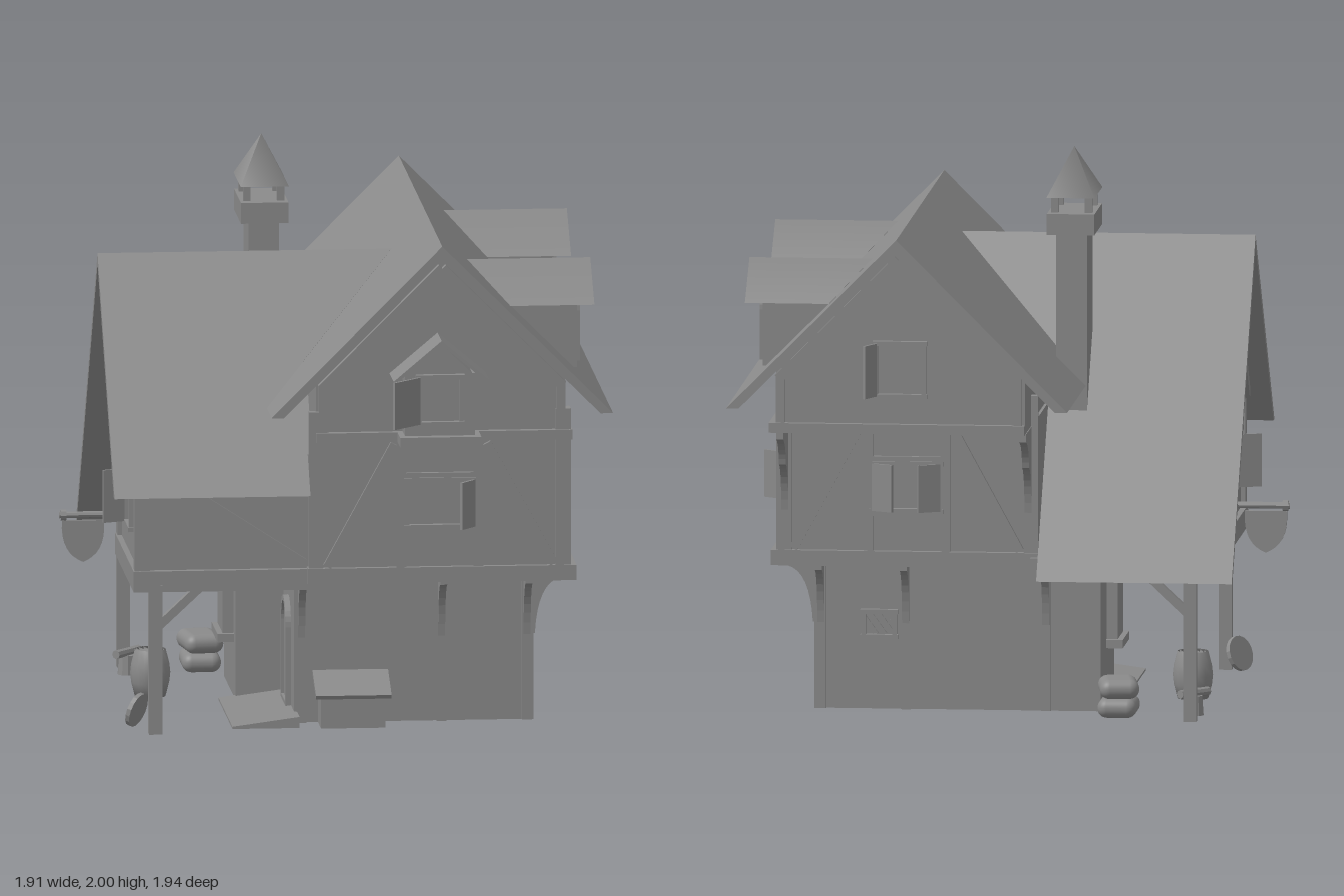
import * as THREE from 'three';
import { RoundedBoxGeometry } from 'three/addons/geometries/RoundedBoxGeometry.js';

const mat = new THREE.MeshStandardMaterial({ color: 0x8a8a8a, flatShading: true, side: THREE.DoubleSide });
const smooth = new THREE.MeshStandardMaterial({ color: 0x8a8a8a, side: THREE.DoubleSide });

function add(parent, name, geo, x = 0, y = 0, z = 0, m = mat) {
  const mesh = new THREE.Mesh(geo, m);
  mesh.name = name;
  mesh.position.set(x, y, z);
  parent.add(mesh);
  return mesh;
}
// Box given by its two extreme corners
function box(parent, name, x0, x1, y0, y1, z0, z1) {
  return add(parent, name, new THREE.BoxGeometry(x1 - x0, y1 - y0, z1 - z0), (x0 + x1) / 2, (y0 + y1) / 2, (z0 + z1) / 2);
}
const shapeOf = pts => new THREE.Shape(pts.map(p => new THREE.Vector2(p[0], p[1])));
const extrude = (shape, depth) => new THREE.ExtrudeGeometry(shape, { depth, bevelEnabled: false, curveSegments: 8 });

// Roof with its ridge along z: chevron profile cut level at the eaves
function chevronRoof(parent, name, cx, half, ridge, eave, t, z0, z1) {
  const cut = t * half / (ridge - eave);
  const profile = [[cx - half, eave], [cx - half + cut, eave], [cx, ridge - t], [cx + half - cut, eave], [cx + half, eave], [cx, ridge]];
  add(parent, name, extrude(shapeOf(profile), z1 - z0), 0, 0, z0);
}
// One slope of a roof with its ridge along x, from a plan outline (x, z); soft blends shading over the ridge
function slope(parent, name, plan, ridgeZ, ridgeY, pitch, t, soft) {
  const geo = extrude(shapeOf(plan), 1), p = geo.attributes.position, n = geo.attributes.normal;
  const eave = Math.max(...plan.map(q => Math.abs(q[1] - ridgeZ)));
  for (let i = 0; i < p.count; i++) {
    const x = p.getX(i), z = p.getY(i), under = p.getZ(i), dist = Math.abs(z - ridgeZ);
    const y = ridgeY - dist * pitch, atEave = dist > eave - 1e-4;
    if (under && atEave) p.setXYZ(i, x, y, z - Math.sign(z - ridgeZ) * t / pitch);
    else p.setXYZ(i, x, y - under * t, z);
  }
  geo.computeVertexNormals();
  if (soft) for (let i = 0; i < p.count; i++) if (n.getY(i) > 0.3 && Math.abs(p.getZ(i) - ridgeZ) < 1e-4) n.setXYZ(i, 0, 1, 0);
  add(parent, name, geo, 0, 0, 0, soft ? smooth : mat);
}
// Wall plane: local x runs along the wall, y up, z outwards
function wallFace(parent, name, x, z, turn) {
  const g = new THREE.Group();
  g.name = name;
  g.position.set(x, 0, z);
  g.rotation.y = turn;
  parent.add(g);
  return g;
}
function timber(face, u0, v0, u1, v1, w = 0.03, d = 0.03) {
  const m = add(face, 'timber', new THREE.BoxGeometry(w, Math.hypot(u1 - u0, v1 - v0), d), (u0 + u1) / 2, (v0 + v1) / 2, 0);
  m.rotation.z = Math.atan2(u0 - u1, v1 - v0);
}
// Framed window with hinged shutters, angles in radians (0 = closed)
function casement(face, u, v, w, h, left = null, right = null, out = 0) {
  const g = wallFace(face, 'window', u, out, 0);
  g.position.y = v;
  for (const s of [-1, 1]) {
    timber(g, s * w / 2, -h / 2, s * w / 2, h / 2, 0.016, 0.04);
    timber(g, -w / 2 - 0.012, s * h / 2, w / 2 + 0.012, s * h / 2, 0.016, 0.045);
    const a = s < 0 ? left : right;
    if (a === null) continue;
    const hinge = wallFace(g, 'hinge', s * w / 2, 0.02, s * a);
    add(hinge, 'shutter', new THREE.BoxGeometry(0.085, h, 0.01), -s * 0.0425, 0, 0);
  }
}
// Curved bracket growing outwards from a wall face, top at v, with one or more scalloped steps
function bracket(face, u, v, d, h, steps = 1) {
  const s = new THREE.Shape();
  s.moveTo(0, 0);
  s.lineTo(0, -h);
  s.lineTo(0.02, -h);
  for (let i = 1; i <= steps; i++) {
    const y = -0.03 - (h - 0.03) * (1 - i / steps) ** 1.4;
    s.quadraticCurveTo(0.03 + (d - 0.03) * (i - 1) / steps, y - 0.02, d * i / steps, y);
  }
  s.lineTo(d, 0);
  add(face, 'bracket', extrude(s, 0.025), u + 0.0125, v, 0).rotation.y = -Math.PI / 2;
}
// Small barred window with a diagonal lattice
function grille(face, u, v) {
  casement(face, u, v, 0.11, 0.09);
  for (const k of [-0.03, 0, 0.03]) for (const s of [-1, 1]) timber(face, u + k - s * 0.025, v - 0.035, u + k + s * 0.025, v + 0.035, 0.006, 0.02);
}
const archShape = (w, y0, y1) => {
  const s = new THREE.Shape();
  s.moveTo(-w, y0);
  s.lineTo(w, y0);
  s.lineTo(w, y1 - w);
  s.absarc(0, y1 - w, w, 0, Math.PI);
  s.closePath();
  return s;
};
function archFrame(face, w, y0, y1, t, depth) {
  const s = archShape(w, y0, y1);
  s.holes.push(archShape(w - t, y0 + t, y1 - t));
  add(face, 'archFrame', extrude(s, depth), 0, 0, 0.02 - depth);
}

export function createModel() {
  const house = new THREE.Group();
  house.name = 'timberHouse';
  const H = Math.PI / 2;

  // Ground floor: open-bottomed walls with a recessed entrance corner (plan drawn as x, -z)
  const walls = shapeOf([[-0.33, -0.1], [-0.16, -0.1], [-0.16, -0.55], [0.68, -0.55], [0.68, 0.39], [-0.33, 0.39]]);
  walls.holes.push(shapeOf([[-0.31, -0.08], [-0.14, -0.08], [-0.14, -0.53], [0.66, -0.53], [0.66, 0.37], [-0.31, 0.37]]));
  add(house, 'groundWalls', extrude(walls, 0.54)).rotation.x = -H;
  const gFront = wallFace(house, 'groundFront', 0, 0.55, 0);
  const gRight = wallFace(house, 'groundSide', 0.68, 0, H);
  const gBack = wallFace(house, 'groundBack', 0, -0.39, Math.PI);
  const gLeft = wallFace(house, 'groundDoorSide', -0.16, 0.32, -H);
  for (const [f, us] of [[gFront, [-0.135, 0.365, 0.67]], [gRight, [-0.535, -0.08, 0.38]], [gBack, [-0.67, -0.365, 0.135]]])
    for (const u of us) {
      timber(f, u, 0, u, 0.54, 0.035);
      bracket(f, u, 0.54, 0.11, 0.23);
    }
  grille(gRight, -0.31, 0.305);
  grille(gBack, -0.46, 0.305);
  archFrame(gLeft, 0.1, 0.03, 0.42, 0.02, 0.06);
  add(gLeft, 'door', extrude(archShape(0.08, 0.04, 0.4), 0.04), 0, 0, -0.03);
  add(house, 'doorStep', extrude(shapeOf([[-0.39, 0], [-0.15, 0], [-0.15, 0.04], [-0.39, 0.008]]), 0.58), 0, 0, 0.08);
  box(house, 'wallLedge', -0.39, -0.33, 0.2, 0.23, -0.2, 0.04);
  box(house, 'wallFrame', -0.37, -0.33, 0.23, 0.54, -0.18, 0.02);

  // Cellar hatch with sloping lid
  add(house, 'cellarHatch', extrude(shapeOf([[0.55, 0], [0.68, 0], [0.68, 0.11], [0.55, 0.17]]), 0.23), 0.155, 0, 0).rotation.y = -H;
  add(house, 'hatchLid', new THREE.BoxGeometry(0.27, 0.015, 0.165), 0.04, 0.149, 0.626).rotation.x = 0.42;

  // Upper floor of the main block
  box(house, 'upperFloor', -0.11, 0.795, 0.54, 1.06, -0.58, 0.75);
  box(house, 'floorBand', -0.13, 0.83, 0.54, 0.595, -0.605, 0.77);
  const uFront = wallFace(house, 'upperFront', 0, 0.75, 0);
  const uRight = wallFace(house, 'upperSide', 0.795, 0, H);
  const uBack = wallFace(house, 'upperBack', 0, -0.58, Math.PI);
  for (const [f, s] of [[uFront, 1], [uBack, -1]]) {
    for (const [x, top, w] of [[-0.1, 1.16, 0.05], [0.205, 1.05, 0.035], [0.48, 1.05, 0.035], [0.78, 1.16, 0.05]]) timber(f, s * x, 0.59, s * x, top, w);
    timber(f, s * -0.06, 0.6, s * 0.18, 1.04);
    timber(f, s * 0.51, 1.04, s * 0.75, 0.6);
    for (const v of [0.73, 0.925]) timber(f, s * 0.205, v, s * 0.48, v, 0.02);
    casement(f, s * 0.345, 0.825, 0.24, 0.17, s < 0 ? 0.5 : null, s < 0 ? 0.5 : 0.9);
  }
  for (const z of [0.735, 0.525, 0.3, 0.08, -0.14, -0.35, -0.575]) {
    const corner = Math.abs(z) > 0.55;
    timber(uRight, -z, 0.59, -z, corner ? 1.16 : 1.05, corner ? 0.05 : 0.035);
  }
  for (const [a, b] of [[0.7, 0.54], [0.11, 0.27], [0.06, -0.11], [-0.55, -0.38]]) timber(uRight, -a, 0.6, -b, 1.05);
  for (const [z, a] of [[0.41, null], [-0.245, 0.9]]) {
    for (const v of [0.73, 0.925]) timber(uRight, -z - 0.1, v, -z + 0.1, v, 0.02);
    casement(uRight, -z, 0.825, 0.17, 0.17, null, a);
  }
  for (const x of [-0.09, 0.78]) bracket(uBack, -x, 1.05, 0.22, 0.31, 2);

  // Attic with gables
  add(house, 'attic', extrude(shapeOf([[-0.1, 1.05], [0.79, 1.05], [0.79, 1.28], [0.35, 1.72], [-0.1, 1.27]]), 1.57), 0, 0, -0.82);
  box(house, 'atticBand', -0.1, 0.815, 1.05, 1.085, -0.845, 0.775);
  for (const [z, s] of [[0.75, 1], [-0.82, -1]]) {
    const f = wallFace(house, 'gable', 0, z, s > 0 ? 0 : Math.PI);
    for (const k of [-1, 1]) {
      timber(f, s * 0.35, 1.675, s * (0.35 + k * 0.43), 1.245, 0.035, 0.05);
      timber(f, s * (0.35 + k * 0.425), 1.08, s * (0.35 + k * 0.425), 1.26, 0.03);
    }
    if (s < 0) casement(f, -0.345, 1.28, 0.17, 0.19, 2.0, null);
  }
  chevronRoof(house, 'mainRoof', 0.345, 0.61, 1.765, 1.153, 0.045, -0.97, 0.83);

  // Front oriel
  box(house, 'orielSill', 0.19, 0.48, 1.05, 1.085, 0.74, 0.885);
  box(house, 'oriel', 0.21, 0.46, 1.08, 1.31, 0.74, 0.85);
  add(house, 'orielGable', extrude(shapeOf([[0.21, 1.3], [0.46, 1.3], [0.335, 1.42]]), 0.11), 0, 0, 0.74);
  chevronRoof(house, 'orielRoof', 0.335, 0.172, 1.44, 1.295, 0.015, 0.74, 0.92);
  casement(uFront, 0.335, 1.215, 0.15, 0.17, null, null, 0.1);
  const shutter = add(house, 'orielShutter', new THREE.BoxGeometry(0.14, 0.17, 0.01), 0.21, 1.215, 0.92);
  shutter.rotation.y = Math.PI / 4;

  // Side dormers with arched lattice windows
  for (const c of [0.405, -0.56]) {
    box(house, 'dormer', 0.5, 0.85, 1.27, 1.5, c - 0.14, c + 0.14);
    add(house, 'dormerGable', extrude(shapeOf([[-0.14, 1.5], [0.14, 1.5], [0, 1.615]]), 0.315), 0.535, 0, c).rotation.y = H;
    for (const s of [-1, 1])
      slope(house, 'dormerRoof', [[0.47, c], [0.61, c + s * 0.175], [0.91, c + s * 0.175], [0.91, c]], c, 1.64, 0.8, 0.018, true);
    const f = wallFace(house, 'dormerWindow', 0.845, c, H);
    archFrame(f, 0.095, 1.285, 1.56, 0.016, 0.02);
    for (const u of [-0.045, 0, 0.045]) timber(f, u, 1.3, u, 1.54, 0.008, 0.03);
    for (const v of [1.34, 1.39, 1.44, 1.49]) timber(f, -0.08, v, 0.08, v, 0.008, 0.03);
  }

  // Side wing over the porch
  add(house, 'wing', extrude(shapeOf([[0.02, 0.54], [-0.72, 0.54], [-0.72, 1], [-0.175, 1.59], [0.02, 1.34]]), 0.62), -0.73, 0, 0).rotation.y = H;
  box(house, 'wingBand', -0.75, -0.1, 0.515, 0.59, -0.03, 0.745);
  const wFront = wallFace(house, 'wingFront', 0, 0.72, 0);
  timber(wFront, -0.718, 0.59, -0.718, 0.98, 0.055);
  timber(wFront, -0.6, 0.91, -0.14, 0.61);
  const wLeft = wallFace(house, 'wingGable', -0.73, 0, -H);
  timber(wLeft, 0, 0.59, 0, 1.33, 0.04);
  timber(wLeft, 0.7, 0.59, 0.7, 1, 0.04);
  timber(wLeft, 0.175, 1.57, 0.71, 0.99, 0.035, 0.06);
  timber(wLeft, 0.175, 1.57, -0.01, 1.33, 0.035, 0.06);
  timber(wLeft, 0, 1.1, 0.6, 1.1);
  casement(wLeft, 0.45, 0.8, 0.17, 0.19, 1.2, null);
  for (const [valley, eave, pitch] of [[0.5, 0.88, 1.08], [-0.105, -0.72, 1.263]])
    slope(house, 'wingRoof', [[-0.83, 0.175], [0.22, 0.175], [-0.13, valley], [-0.13, eave], [-0.83, eave]], 0.175, 1.64, pitch, 0.04, false);

  // Porch posts and braces
  for (const [z, s] of [[0.725, -1], [-0.605, 1]]) {
    box(house, 'porchPost', -0.695, -0.648, 0, 0.54, z - 0.023, z + 0.023);
    timber(wallFace(house, 'porchBrace', 0, z, 0), -0.66, 0.39, -0.51, 0.53);
    timber(wallFace(house, 'porchBrace', -0.67, 0, -H), z, 0.39, z + s * 0.14, 0.53);
  }
  box(house, 'rearBeam', -0.7, -0.1, 0.53, 0.58, -0.625, -0.58);

  // Chimney with a small roofed cap
  box(house, 'chimneyShaft', -0.27, -0.16, 0.9, 1.7, -0.28, -0.07);
  box(house, 'chimneyCollar', -0.3, -0.13, 1.7, 1.775, -0.32, -0.03);
  for (const x of [-0.275, -0.155]) for (const z of [-0.27, -0.08]) box(house, 'capPost', x - 0.013, x + 0.013, 1.77, 1.835, z - 0.013, z + 0.013);
  const cap = new THREE.ConeGeometry(Math.SQRT1_2, 1, 4).rotateY(Math.PI / 4).scale(0.172, 0.167, 0.296);
  add(house, 'chimneyCap', cap, -0.215, 1.9165, -0.175, smooth);

  // Hanging sign on a pole
  add(house, 'signPole', new THREE.CylinderGeometry(0.012, 0.012, 0.26, 8).rotateZ(H), -0.83, 0.68, 0.095);
  add(house, 'signPoleEnd', new THREE.CylinderGeometry(0.02, 0.02, 0.02, 8).rotateZ(H), -0.945, 0.68, 0.095);
  const sign = new THREE.Shape();
  sign.moveTo(-0.075, 0.66);
  sign.bezierCurveTo(-0.08, 0.57, -0.05, 0.53, 0, 0.51);
  sign.bezierCurveTo(0.05, 0.53, 0.08, 0.57, 0.075, 0.66);
  add(house, 'signBoard', extrude(sign, 0.014), -0.875, 0, 0.088);

  // Barrel, sacks, stump and leaning disc
  const barrel = [[0, 0], [0.055, 0], [0.068, 0.05], [0.072, 0.085], [0.068, 0.12], [0.055, 0.17], [0.05, 0.16], [0, 0.16]];
  add(house, 'barrel', new THREE.LatheGeometry(barrel.map(p => new THREE.Vector2(...p)), 16), -0.625, 0, -0.02, smooth);
  for (const [i, y] of [0.038, 0.106].entries()) {
    const sack = add(house, 'sack', new RoundedBoxGeometry(0.14, 0.07, 0.19, 4, 0.034), -0.405, y, -0.51, smooth);
    sack.rotation.y = i * 0.15;
  }
  add(house, 'stump', new THREE.CylinderGeometry(0.03, 0.035, 0.07, 10), -0.67, 0.035, -0.45);
  add(house, 'log', new THREE.CylinderGeometry(0.016, 0.016, 0.14, 8), -0.67, 0.08, -0.45).rotation.set(H, 0, 0.7);
  const disc = add(house, 'leaningDisc', new THREE.CylinderGeometry(0.063, 0.063, 0.016, 16), -0.73, 0.07, 0.63);
  disc.quaternion.setFromUnitVectors(new THREE.Vector3(0, 1, 0), new THREE.Vector3(-0.8, 0.3, -0.52).normalize());

  return house;
}
